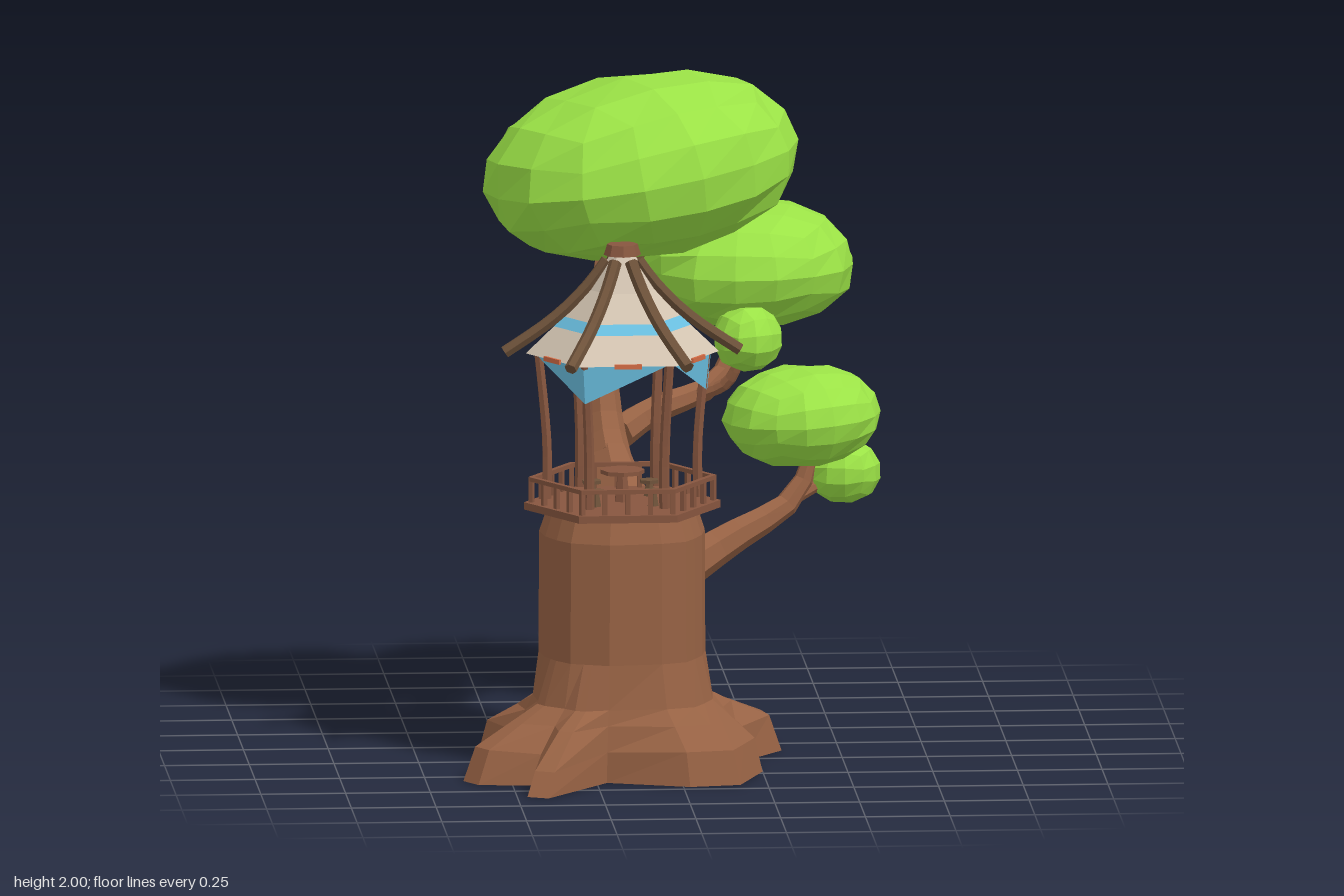
import * as THREE from 'three';
import { mergeVertices } from 'three/addons/utils/BufferGeometryUtils.js';

const CX = -0.155, CZ = 0.34; // axis of trunk and pavilion

function paint(name, color, side = THREE.FrontSide) {
  const m = new THREE.MeshStandardMaterial({ color, side });
  m.name = name;
  return m;
}

function flat(geo) {
  const g = geo.index ? geo.toNonIndexed() : geo;
  g.computeVertexNormals();
  return g;
}

function add(parent, name, geo, mat, pos = [0, 0, 0], rotY = 0) {
  const m = new THREE.Mesh(flat(geo), mat);
  m.name = name;
  m.position.set(...pos);
  m.rotation.y = rotY;
  parent.add(m);
  return m;
}

// Skin over rings of equal point count, open below and closed on top
function loft(rings) {
  const n = rings[0].length, pos = rings.flat(2), idx = [], last = rings.length - 1;
  const top = rings.length * n;
  pos.push(CX, rings[last][0][1], CZ);
  for (let j = 0; j < n; j++) {
    const k = (j + 1) % n;
    for (let i = 0; i < last; i++) {
      const a = i * n + j, b = i * n + k;
      idx.push(a, a + n, b, b, a + n, b + n);
    }
    idx.push(top, last * n + k, last * n + j);
  }
  const g = new THREE.BufferGeometry();
  g.setAttribute('position', new THREE.Float32BufferAttribute(pos, 3));
  g.setIndex(idx);
  return g;
}

// Tapered, capped tube through points
function limb(points, r0, r1, sides = 7, segs = 9) {
  const curve = new THREE.CatmullRomCurve3(points.map(p => new THREE.Vector3(...p)));
  const g = new THREE.TubeGeometry(curve, segs, 1, sides, false);
  const p = g.attributes.position, v = new THREE.Vector3();
  for (let i = 0; i <= segs; i++) {
    const c = curve.getPointAt(i / segs);
    const r = i === 0 || i === segs ? 0 : THREE.MathUtils.lerp(r0, r1, (i - 1) / (segs - 2));
    const end = i === 0 ? curve.getPointAt(1 / segs) : i === segs ? curve.getPointAt(1 - 1 / segs) : c;
    for (let j = 0; j <= sides; j++) {
      const k = i * (sides + 1) + j;
      v.fromBufferAttribute(p, k).sub(c).multiplyScalar(r).add(end);
      p.setXYZ(k, v.x, v.y, v.z);
    }
  }
  return g;
}

// Faceted leaf clump, tilted sideways and fitted to a box of the given half sizes
function clump(half, segs, seed, tilt) {
  let s = seed * 7919;
  const rnd = () => (s = (s * 16807) % 2147483647) / 2147483647;
  let g = new THREE.BoxGeometry(2, 2, 2, segs, segs, segs);
  g.deleteAttribute('normal');
  g.deleteAttribute('uv');
  g = mergeVertices(g);
  const p = g.attributes.position, v = new THREE.Vector3();
  for (let i = 0; i < p.count; i++) {
    v.fromBufferAttribute(p, i);
    v.set(...v.toArray().map(t => Math.tan(t * Math.PI / 4))).normalize();
    const h = Math.hypot(v.x, v.z), full = h > 0.01 ? Math.pow(h, -0.1) : 1;
    const jitter = 0.975 + 0.05 * rnd();
    p.setXYZ(i, v.x * full * jitter, v.y * jitter, v.z * full * jitter);
  }
  g.rotateY(seed * 0.7);
  g.scale(...half);
  g.rotateZ(tilt);
  g.center();
  g.computeBoundingBox();
  const m = g.boundingBox.max;
  g.scale(half[0] / m.x, half[1] / m.y, half[2] / m.z);
  return g;
}

export function createModel() {
  const tree = new THREE.Group();
  tree.name = 'treePavilion';
  const bark = paint('bark', 0x976244, THREE.DoubleSide);
  const wood = paint('railWood', 0x87563f);
  const beamWood = paint('beamWood', 0x6e523a);
  const leaf = paint('leaf', 0x9be246);
  const cloth = paint('cloth', 0xd4c5b2, THREE.DoubleSide);
  const blue = paint('blueCloth', 0x6abfe0, THREE.DoubleSide);
  const orange = paint('orangeTrim', 0xd56c45);

  // Trunk: eight-sided column spreading into roots; the third value scales a root tip's height
  const foot = [[.25, .47, 1], [.21, .58, 1], [.17, .69, 1], [.02, .715, 1], [-.22, .63, .9], [-.41, .88, .7], [-.47, .85, .7],
    [-.43, .66, .9], [-.6, .64, 1], [-.64, .57, 1], [-.5, .44, 1], [-.48, .3, 1], [-.57, .15, 1.1], [-.5, .02, 1.1], [-.36, .02, 1.1],
    [-.28, -.14, 1.2], [-.15, -.12, 1.3], [-.04, -.25, 1.35], [.1, -.2, 1.35], [.14, -.02, 1.2], [.31, .02, 1.1], [.33, .12, 1.1], [.2, .3, 1]];
  const levels = [[0, 1, .27], [.1, .86, .27], [.165, .43, .27], [.21, .13, .27], [.34, 0, .262], [.7, 0, .26], [.77, 0, .235]];
  const step = Math.PI / 4;
  const rings = levels.map(([y, spread, r], i) => foot.map(([x, z, lift]) => {
    const a = Math.atan2(z - CZ, x - CX) + Math.PI * 2;
    const back = 1 - 0.12 * Math.max(0, -Math.sin(a));
    const column = back * r * Math.cos(step / 2) / Math.cos((a % step) - step / 2);
    const d = THREE.MathUtils.lerp(column, Math.hypot(x - CX, z - CZ), spread);
    return [CX + d * Math.cos(a), i === 1 ? y * lift : y, CZ + d * Math.sin(a)];
  }));
  add(tree, 'trunkAndRoots', loft(rings), bark);

  // Branches: [name, path, start radius, end radius]
  const branches = [
    ['stemShoulder', [[-.12, .54, .28], [-.12, .64, .12], [-.14, .75, -.05], [-.165, .89, -.2]], .14, .06],
    ['mainStem', [[-.15, .78, -.1], [-.17, .92, -.22], [-.175, 1.06, -.27], [-.17, 1.2, -.27], [-.13, 1.36, -.25]], .065, .036],
    ['crownBranch', [[-.16, 1.24, -.265], [-.1, 1.4, -.23], [-.03, 1.5, -.17], [0, 1.6, -.13]], .036, .024],
    ['rearBranch', [[-.17, 1.2, -.27], [-.17, 1.32, -.33], [-.14, 1.52, -.43]], .036, .022],
    ['sideBranch', [[-.18, .86, -.2], [-.02, .94, -.34], [.17, 1.0, -.45], [.24, 1.12, -.51], [.27, 1.26, -.54]], .05, .022],
    ['sideTwig', [[.1, .97, -.4], [.2, 1.02, -.34], [.25, 1.14, -.3]], .022, .014],
    ['lowBranch', [[-.06, .5, .22], [.08, .57, .1], [.22, .64, .02], [.36, .71, -.05], [.43, .83, -.08], [.43, .95, -.08]], .07, .022],
    ['lowTwig', [[.35, .71, -.05], [.44, .75, -.09], [.54, .79, -.12]], .022, .014],
  ];
  for (const [name, path, r0, r1] of branches) add(tree, name, limb(path, r0, r1), bark);

  // Foliage: [name, centre, half sizes, facets per side, seed, tilt]
  const clumps = [
    ['crownLeaves', [-.075, 1.727, -.04], [.465, .273, .43], 4, 5, .17],
    ['rearLeaves', [.265, 1.345, -.555], [.325, .19, .325], 4, 11, 0],
    ['smallRearLeaves', [-.135, 1.535, -.455], [.18, .115, .175], 3, 17, 0],
    ['sideLeaves', [.4, .967, -.06], [.235, .148, .24], 4, 23, .05],
    ['lowLeaves', [.53, .792, -.125], [.108, .09, .105], 3, 31, 0],
    ['twigLeaves', [.26, 1.163, -.29], [.1, .094, .13], 3, 41, 0],
  ];
  for (const [name, c, half, segs, seed, tilt] of clumps) add(tree, name, clump(half, segs, seed, tilt), leaf, c);

  // Pavilion on a hexagonal deck
  const hut = new THREE.Group();
  hut.name = 'pavilion';
  hut.position.set(CX, 0, CZ);
  tree.add(hut);
  const corner = (i, r, y) => [r * Math.cos(i * Math.PI / 3), y, r * Math.sin(i * Math.PI / 3)];
  const hex = (rt, rb, h, open) => new THREE.CylinderGeometry(rt, rb, h, 6, 1, open).rotateY(Math.PI / 6);
  add(hut, 'deck', hex(.29, .29, .022), wood, [0, .78, 0]);

  for (let i = 0; i < 6; i++) {
    // Posts and roof beams at each corner
    add(hut, 'post', limb([corner(i, .225, .74), corner(i, .222, .95), corner(i, .235, 1.12), corner(i, .255, 1.3)], .016, .014, 6), wood);
    add(hut, 'roofBeam', limb([corner(i, .02, 1.55), corner(i, .1, 1.44), corner(i, .2, 1.342), corner(i, .385, 1.215)], .019, .019, 6, 11), beamWood);

    // Railing along each edge
    const a = new THREE.Vector3(...corner(i, .268, 0)), b = new THREE.Vector3(...corner(i + 1, .268, 0));
    const mid = a.clone().lerp(b, .5), turn = -Math.atan2(b.z - a.z, b.x - a.x);
    add(hut, 'handRail', new THREE.BoxGeometry(.275, .013, .016), wood, [mid.x, .86, mid.z], turn);
    for (let k = 0; k < 4; k++) {
      const q = a.clone().lerp(b, k / 4);
      add(hut, 'baluster', new THREE.BoxGeometry(.014, .08, .014), wood, [q.x, .826, q.z], turn);
    }

    // Trim patch at the middle of each eave
    add(hut, 'eaveTrim', new THREE.BoxGeometry(.08, .014, .008), orange, [mid.x * 1.07, 1.236, mid.z * 1.07], turn);
  }

  // Cloth roof in bands, with a blue stripe
  const bands = [[.035, 1.53, .1, 1.425, cloth], [.1, 1.425, .172, 1.345, cloth], [.172, 1.345, .202, 1.316, blue], [.202, 1.316, .285, 1.236, cloth]];
  for (const [rt, yt, rb, yb, mat] of bands)
    add(hut, mat === blue ? 'roofStripe' : 'roofCloth', hex(rt, rb, yt - yb, true), mat, [0, (yt + yb) / 2, 0]);
  add(hut, 'roofCap', new THREE.CylinderGeometry(.045, .055, .032, 8), wood, [0, 1.544, 0]);

  // Blue drapes folded around every second corner
  for (const i of [0, 2, 4]) {
    const l = corner(i - 1, .262, 1.24), t = corner(i, .262, 1.24), r = corner(i + 1, .262, 1.24), tip = corner(i, .25, 1.12);
    const g = new THREE.BufferGeometry();
    g.setAttribute('position', new THREE.Float32BufferAttribute([...l, ...t, ...tip, ...t, ...r, ...tip], 3));
    add(hut, 'drape', g, blue);
  }

  // Table and stools
  add(hut, 'tableTop', new THREE.CylinderGeometry(.065, .065, .012, 8), wood, [0, .88, 0]);
  add(hut, 'tableLeg', new THREE.CylinderGeometry(.015, .025, .09, 6), wood, [0, .833, 0]);
  for (let i = 0; i < 4; i++) {
    const a = (i + .5) * Math.PI / 2, x = .12 * Math.cos(a), z = .12 * Math.sin(a);
    add(hut, 'stoolSeat', new THREE.CylinderGeometry(.03, .03, .01, 6), beamWood, [x, .835, z]);
    add(hut, 'stoolLeg', new THREE.CylinderGeometry(.01, .018, .045, 5), beamWood, [x, .81, z]);
  }
  return tree;
}
